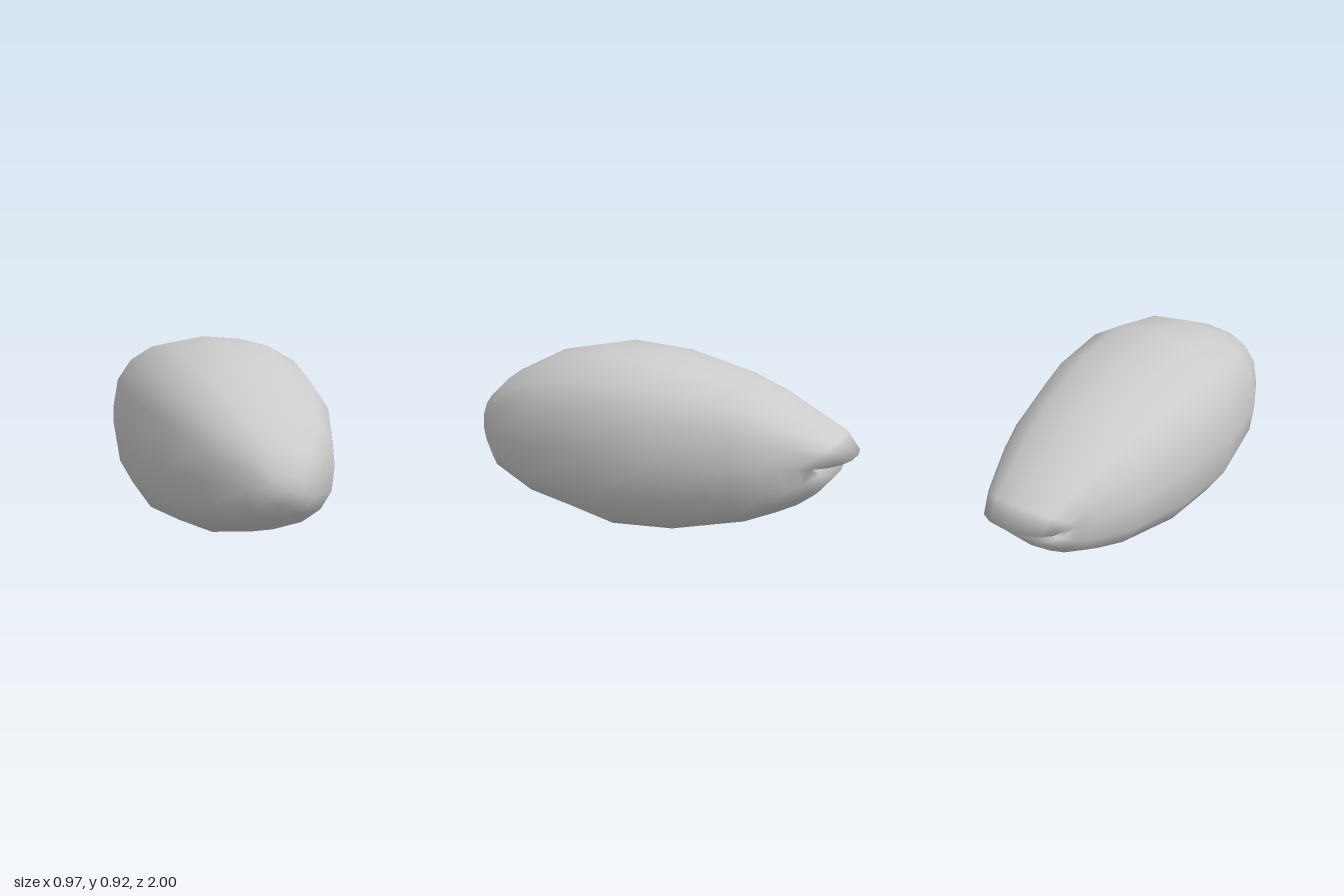
import * as THREE from 'three';

const SEG = 16;

// Each ring: z at top, side and bottom; y at top, side and bottom; half width
const RINGS = [
  [1.0, 1.0, 1.0, 0.435, 0.435, 0.435, 0],
  [1.0, 1.0, 1.0, 0.5, 0.435, 0.37, 0.08],
  [0.95, 0.95, 0.94, 0.6, 0.44, 0.29, 0.17],
  [0.8, 0.81, 0.85, 0.73, 0.45, 0.205, 0.31],
  [0.54, 0.56, 0.6, 0.86, 0.46, 0.1, 0.425],
  [0.24, 0.2, 0.18, 0.92, 0.47, 0.003, 0.483],
  [-0.08, -0.13, -0.14, 0.895, 0.47, 0.02, 0.46],
  [-0.43, -0.48, -0.5, 0.81, 0.46, 0.105, 0.375],
  [-0.61, -0.61, -0.66, 0.74, 0.455, 0.175, 0.325],
  [-0.76, -0.7, -0.75, 0.66, 0.45, 0.22, 0.28],
  [-0.93, -0.77, -0.83, 0.57, 0.45, 0.28, 0.235],
  // lip edges of the split tip
  [-1.0, -0.82, -0.92, 0.48, 0.445, 0.39, 0.205],
  // inside of the split
  [-0.87, -0.81, -0.86, 0.463, 0.447, 0.435, 0.14],
  [-0.85, -0.85, -0.85, 0.447, 0.447, 0.447, 0],
];

// Slightly squared rounding of the cross-section
const round = (v) => Math.sign(v) * Math.pow(Math.abs(v), 0.83);

function shellGeometry() {
  const positions = [];
  const index = [];
  RINGS.forEach(([zTop, zSide, zBottom, yTop, ySide, yBottom, halfWidth], i) => {
    for (let j = 0; j < SEG; j++) {
      const a = (j / SEG) * Math.PI * 2;
      const s = round(Math.sin(a));
      const t = Math.abs(s);
      const up = s >= 0;
      positions.push(
        halfWidth * round(Math.cos(a)),
        ySide + ((up ? yTop : yBottom) - ySide) * t,
        zSide + ((up ? zTop : zBottom) - zSide) * t
      );
      if (i === RINGS.length - 1) continue;
      const k = (j + 1) % SEG;
      const p = i * SEG + j, q = i * SEG + k;
      const r = p + SEG, u = q + SEG;
      if (i < RINGS.length - 2) index.push(p, r, u);
      else index.push(p, r, q);
      if (i > 0 && i < RINGS.length - 2) index.push(p, u, q);
    }
  });
  const geometry = new THREE.BufferGeometry();
  geometry.setAttribute('position', new THREE.Float32BufferAttribute(positions, 3));
  geometry.setIndex(index);
  geometry.computeVertexNormals();
  return geometry;
}

export function createModel() {
  const group = new THREE.Group();
  group.name = 'nut';
  // Plump shell with a split, beak-like tip at the back
  const shell = new THREE.Mesh(
    shellGeometry(),
    new THREE.MeshStandardMaterial({ color: 0xcccccc, side: THREE.DoubleSide })
  );
  shell.name = 'shell';
  group.add(shell);
  return group;
}
